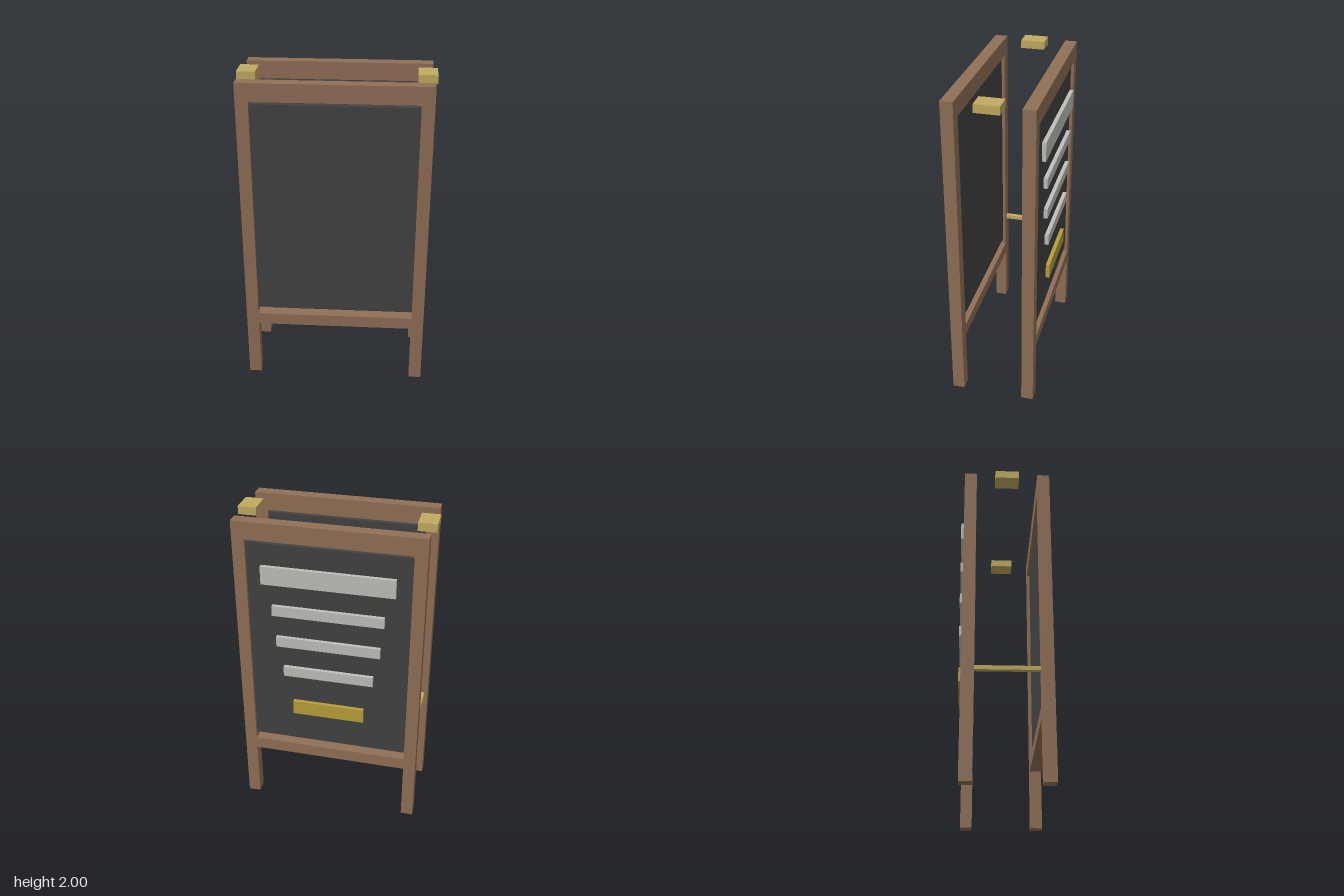
import * as THREE from 'three';

const paint = (name, color) => {
  const m = new THREE.MeshStandardMaterial({ color });
  m.name = name;
  return m;
};

// Box given by its extents along each axis
function box(parent, name, material, [x0, x1], [y0, y1], [z0, z1]) {
  const mesh = new THREE.Mesh(new THREE.BoxGeometry(x1 - x0, y1 - y0, z1 - z0), material);
  mesh.position.set((x0 + x1) / 2, (y0 + y1) / 2, (z0 + z1) / 2);
  mesh.name = name;
  parent.add(mesh);
  return mesh;
}

export function createModel() {
  const wood = paint('brown wood', 0x906f56);
  const slate = paint('chalkboard grey', 0x424242);
  const chalk = paint('chalk grey', 0xbfbfba);
  const gold = paint('chalk yellow', 0xb89f3a);
  const brass = paint('brass', 0xc2aa60);

  const model = new THREE.Group();
  model.name = 'sandwichBoard';

  // Two matching framed boards
  for (const [name, z] of [['frontBoard', 0.235], ['backBoard', -0.22]]) {
    const board = new THREE.Group();
    board.name = name;
    board.position.z = z;
    const depth = [-0.0375, 0.0375];
    box(board, 'leftPost', wood, [0.492, 0.568], [0, 1.99], depth);
    box(board, 'rightPost', wood, [-0.568, -0.492], [0, 1.99], depth);
    box(board, 'topRail', wood, [-0.492, 0.492], [1.88, 1.99], depth);
    box(board, 'bottomRail', wood, [-0.492, 0.492], [0.38, 0.457], depth);
    box(board, 'panel', slate, [-0.492, 0.492], [0.497, 1.86], [-0.019, 0.019]);
    model.add(board);
  }

  // Raised bars on the back: half width, bottom, top, material
  const bars = [
    [0.4, 1.615, 1.73, chalk],
    [0.34, 1.412, 1.478, chalk],
    [0.32, 1.202, 1.268, chalk],
    [0.28, 0.995, 1.06, chalk],
    [0.225, 0.717, 0.81, gold],
  ];
  bars.forEach(([w, y0, y1, m], i) =>
    box(model, m === gold ? 'yellowBar' : `chalkBar${i + 1}`, m, [-w, w], [y0, y1], [-0.277, -0.253]));

  // Hinge blocks on top
  box(model, 'leftHinge', brass, [0.475, 0.587], [1.95, 2], [-0.067, 0.082]);
  box(model, 'rightHinge', brass, [-0.587, -0.475], [1.95, 2], [-0.067, 0.082]);

  // Spreader bar between the boards
  box(model, 'spreader', brass, [-0.547, -0.517], [0.655, 0.68], [-0.183, 0.198]);

  return model;
}
